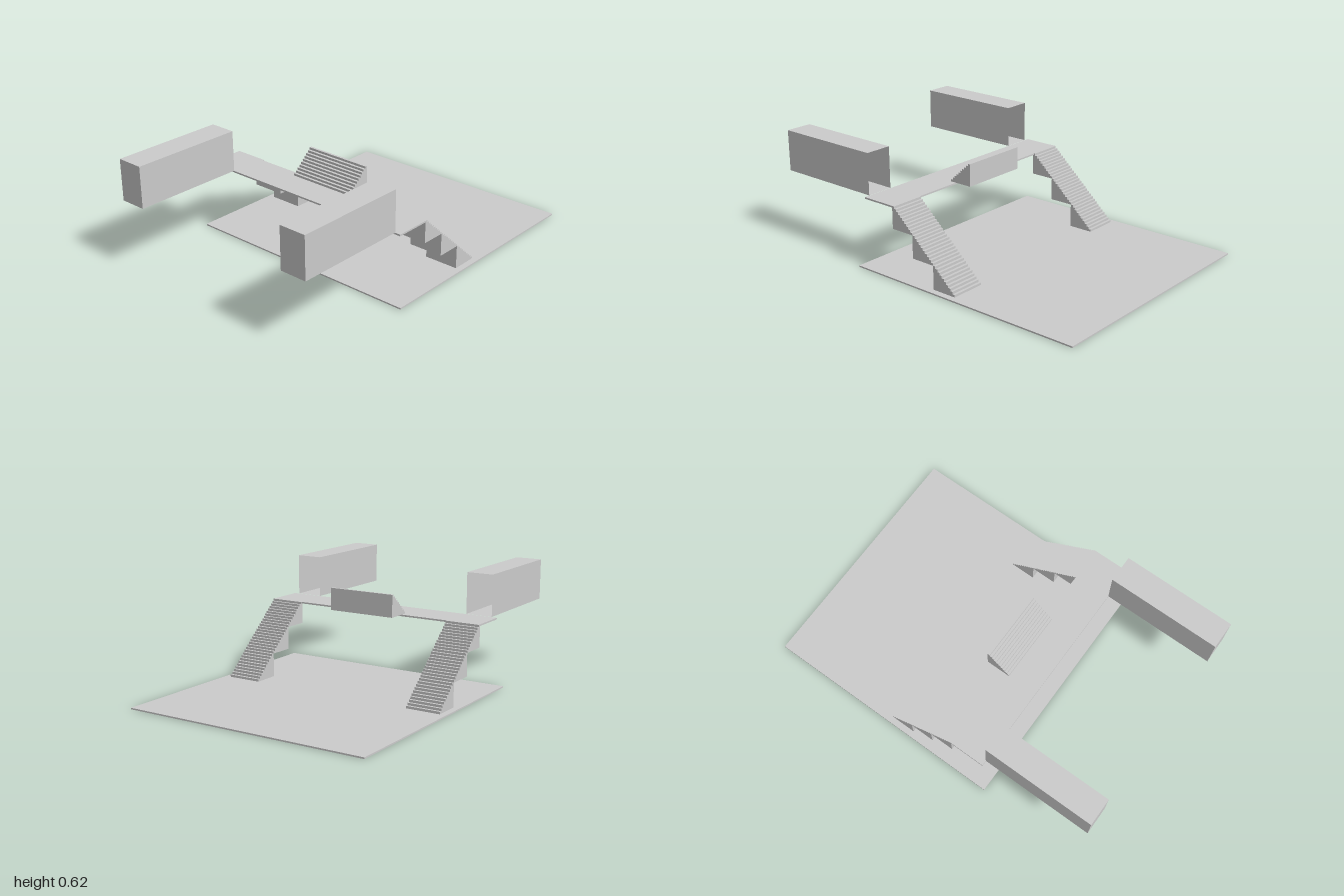
import * as THREE from 'three';

const material = new THREE.MeshStandardMaterial({ color: 0xcccccc, flatShading: true });
const thinMaterial = new THREE.MeshStandardMaterial({ color: 0xcccccc, flatShading: true, side: THREE.DoubleSide });
const STEPS = 10;

// Box given by its low and high corners
function block(name, [x0, y0, z0], [x1, y1, z1]) {
  const mesh = new THREE.Mesh(new THREE.BoxGeometry(x1 - x0, y1 - y0, z1 - z0), material);
  mesh.position.set((x0 + x1) / 2, (y0 + y1) / 2, (z0 + z1) / 2);
  mesh.name = name;
  return mesh;
}

// Solid flight of steps climbing from (zLow, yLow) to (zHigh, yHigh)
function flight(name, x, width, zLow, yLow, zHigh, yHigh) {
  const shape = new THREE.Shape();
  const run = (zHigh - zLow) / STEPS, rise = (yHigh - yLow) / STEPS;
  shape.moveTo(zLow, yLow);
  for (let i = 0; i < STEPS; i++) {
    shape.lineTo(zLow + i * run, yLow + (i + 1) * rise);
    shape.lineTo(zLow + (i + 1) * run, yLow + (i + 1) * rise);
  }
  shape.lineTo(zHigh, yLow);
  shape.closePath();
  const geometry = new THREE.ExtrudeGeometry(shape, { depth: width, bevelEnabled: false });
  geometry.translate(0, 0, -width / 2).rotateY(-Math.PI / 2);
  const mesh = new THREE.Mesh(geometry, material);
  mesh.position.x = x;
  mesh.name = name;
  return mesh;
}

// Hollow passage, open at its rear end
function passage(name, x) {
  const geometry = new THREE.BoxGeometry(0.152, 0.23, 0.63);
  const rear = geometry.groups[5];
  const index = Array.from(geometry.index.array);
  index.splice(rear.start, rear.count);
  geometry.setIndex(index);
  geometry.clearGroups();
  const mesh = new THREE.Mesh(geometry, thinMaterial);
  mesh.position.set(x, 0.504, 0.685);
  mesh.name = name;
  return mesh;
}

export function createModel() {
  const model = new THREE.Group();
  model.name = 'stairHall';

  // Floor and raised walkway
  model.add(block('floor', [-0.7, 0, -1], [0.7, 0.008, 0.4]));
  model.add(block('walkway', [-0.665, 0.379, 0.165], [0.665, 0.388, 0.37]));

  // Short central flight above the walkway
  model.add(flight('centralStairs', 0, 0.395, 0.2, 0.388, 0.063, 0.513));

  // Side staircases of three flights, and the passages in front
  const levels = [0.008, 0.138, 0.264, 0.388];
  const depths = [-0.25, -0.107, 0.033, 0.171];
  for (const [side, s] of [['left', 1], ['right', -1]]) {
    const stairs = new THREE.Group();
    stairs.name = side + 'Staircase';
    for (let i = 0; i < 3; i++) {
      stairs.add(flight('flight' + (i + 1), s * 0.568, 0.195,
        depths[i], levels[i], depths[i + 1], levels[i + 1]));
    }
    model.add(stairs, passage(side + 'Passage', s * 0.559));
  }
  return model;
}
